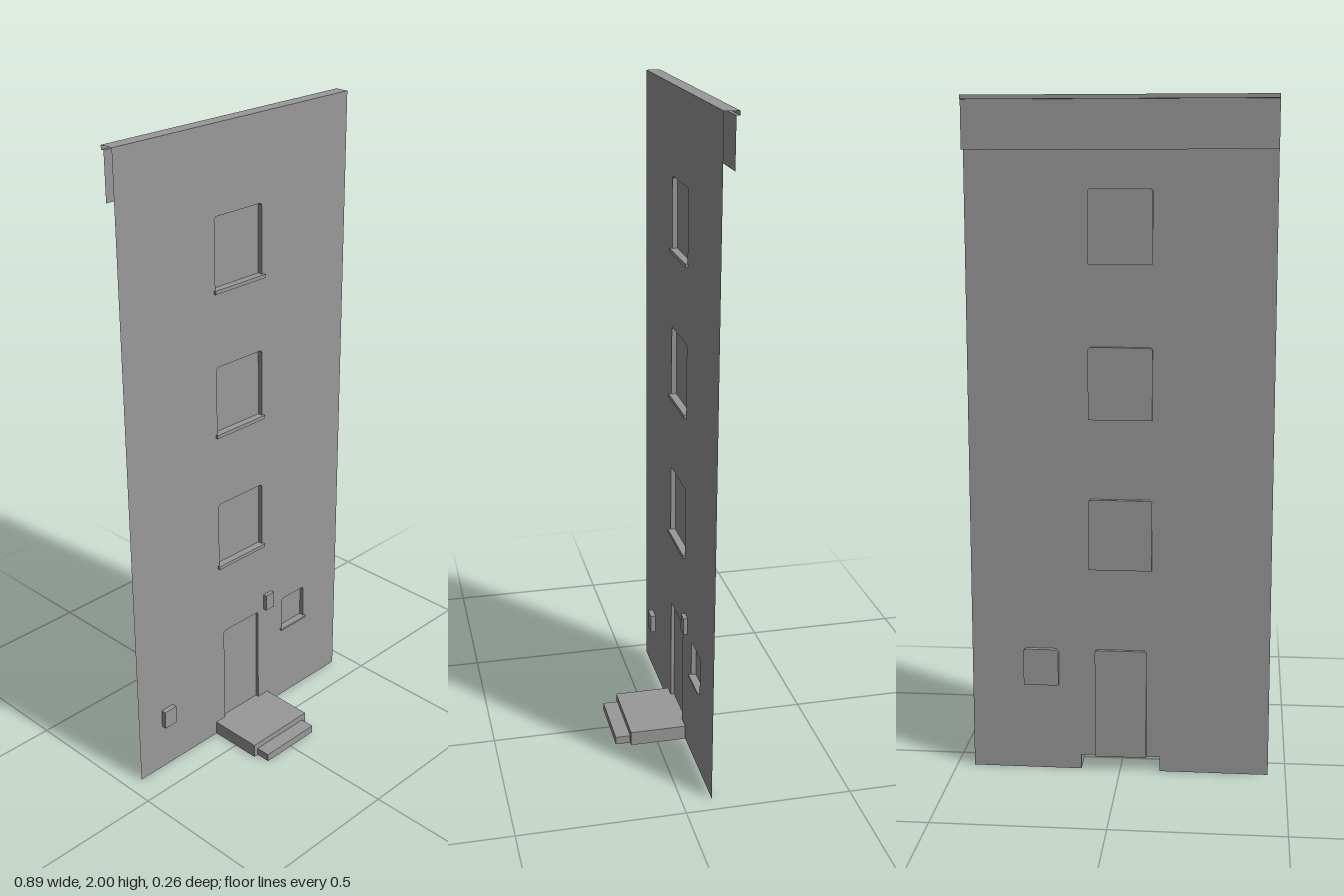
import * as THREE from 'three';

const W = 0.447;      // half width of the facade
const WALL_Z = -0.09; // plane of the wall

const plaster = new THREE.MeshStandardMaterial({ color: 0x999999, side: THREE.DoubleSide });
plaster.name = 'grey plaster';

function add(parent, name, geometry) {
  const mesh = new THREE.Mesh(geometry, plaster);
  mesh.name = name;
  parent.add(mesh);
  return mesh;
}

// Flat-faced sheet swept from a line of [x, y, z] points along an offset
function sheet(points, [ox, oy, oz]) {
  const pos = [];
  for (let i = 0; i < points.length - 1; i++) {
    const a = points[i], b = points[i + 1];
    const c = [b[0] + ox, b[1] + oy, b[2] + oz];
    const d = [a[0] + ox, a[1] + oy, a[2] + oz];
    pos.push(...a, ...b, ...c, ...a, ...c, ...d);
  }
  const g = new THREE.BufferGeometry();
  g.setAttribute('position', new THREE.Float32BufferAttribute(pos, 3));
  g.computeVertexNormals();
  return g;
}

// Box given by its limits; keeps only the listed faces (+x -x +y -y +z -z)
function box(x0, x1, y0, y1, z0, z1, faces = [0, 1, 2, 3, 4, 5]) {
  const g = new THREE.BoxGeometry(x1 - x0, y1 - y0, z1 - z0);
  const index = Array.from(g.index.array);
  g.clearGroups();
  g.setIndex(faces.flatMap(f => index.slice(f * 6, f * 6 + 6)));
  g.translate((x0 + x1) / 2, (y0 + y1) / 2, (z0 + z1) / 2);
  return g;
}

// Opening outline, counterclockwise, with slightly clipped top corners
function outline({ x0, x1, y0, y1 }) {
  const c = 0.006;
  return [[x0, y0], [x1, y0], [x1, y1 - c], [x1 - c, y1], [x0 + c, y1], [x0, y1 - c]]
    .map(p => new THREE.Vector2(...p));
}

// Reveal around an opening and the panel set at its back
function recess(parent, name, opening, depth) {
  const group = new THREE.Group();
  group.name = name;
  const pts = outline(opening);
  const panel = new THREE.ShapeGeometry(new THREE.Shape(pts));
  add(group, name + 'Panel', panel.translate(0, 0, WALL_Z - depth));
  const loop = [...pts, pts[0]].map(p => [p.x, p.y, WALL_Z]);
  add(group, name + 'Reveal', sheet(loop, [0, 0, -depth]));
  parent.add(group);
  return group;
}

export function createModel() {
  const model = new THREE.Group();
  model.name = 'houseFacade';

  const windows = [0.63, 1.08, 1.53].map(y => ({ x0: -0.095, x1: 0.092, y0: y, y1: y + 0.212 }));
  windows.push({ x0: 0.185, x1: 0.29, y0: 0.268, y1: 0.38 });
  const door = { x0: -0.08, x1: 0.075, y0: 0.045, y1: 0.38 };

  // Wall: notched at the bottom for the stoop, cut out for door and windows
  const d = outline(door);
  const wall = new THREE.Shape([
    [-W, 0], [-0.12, 0], [-0.12, 0.045], [d[0].x, d[0].y], [d[5].x, d[5].y], [d[4].x, d[4].y],
    [d[3].x, d[3].y], [d[2].x, d[2].y], [d[1].x, d[1].y], [0.118, 0.045], [0.118, 0],
    [W, 0], [W, 2], [-W, 2],
  ].map(p => new THREE.Vector2(...p)));
  wall.holes = windows.map(w => new THREE.Path(outline(w).reverse()));
  add(model, 'wall', new THREE.ShapeGeometry(wall).translate(0, 0, WALL_Z));

  // Windows with projecting sills
  windows.forEach((w, i) => {
    const small = i === 3;
    const group = recess(model, small ? 'smallWindow' : 'window', w, 0.015);
    const t = small ? 0.006 : 0.011;
    add(group, 'sill', box(w.x0 - 0.006, w.x1 + 0.006, w.y0 - t, w.y0, WALL_Z, -0.082));
  });

  recess(model, 'door', door, 0.011);

  // Roof edge: coping, small lip and the strip hanging behind the wall
  const edge = [[WALL_Z, 2], [-0.132, 2], [-0.132, 1.988], [-0.122, 1.988], [-0.122, 1.85]];
  add(model, 'roofEdge', sheet(edge.map(([z, y]) => [-W, y, z]), [2 * W, 0, 0]));

  // Stoop: hollow landing and lower step
  const shell = [0, 1, 2, 4];
  add(model, 'landing', box(-0.12, 0.118, 0, 0.045, WALL_Z, 0.084, shell));
  add(model, 'step', box(-0.105, 0.103, 0, 0.025, 0.084, 0.13, shell));

  // Fittings on the wall
  const fitting = [0, 1, 2, 3, 4];
  add(model, 'mailbox', box(-0.353, -0.306, 0.155, 0.215, WALL_Z, -0.074, fitting));
  add(model, 'doorLamp', box(0.1, 0.135, 0.38, 0.435, WALL_Z, -0.077, fitting));

  return model;
}
